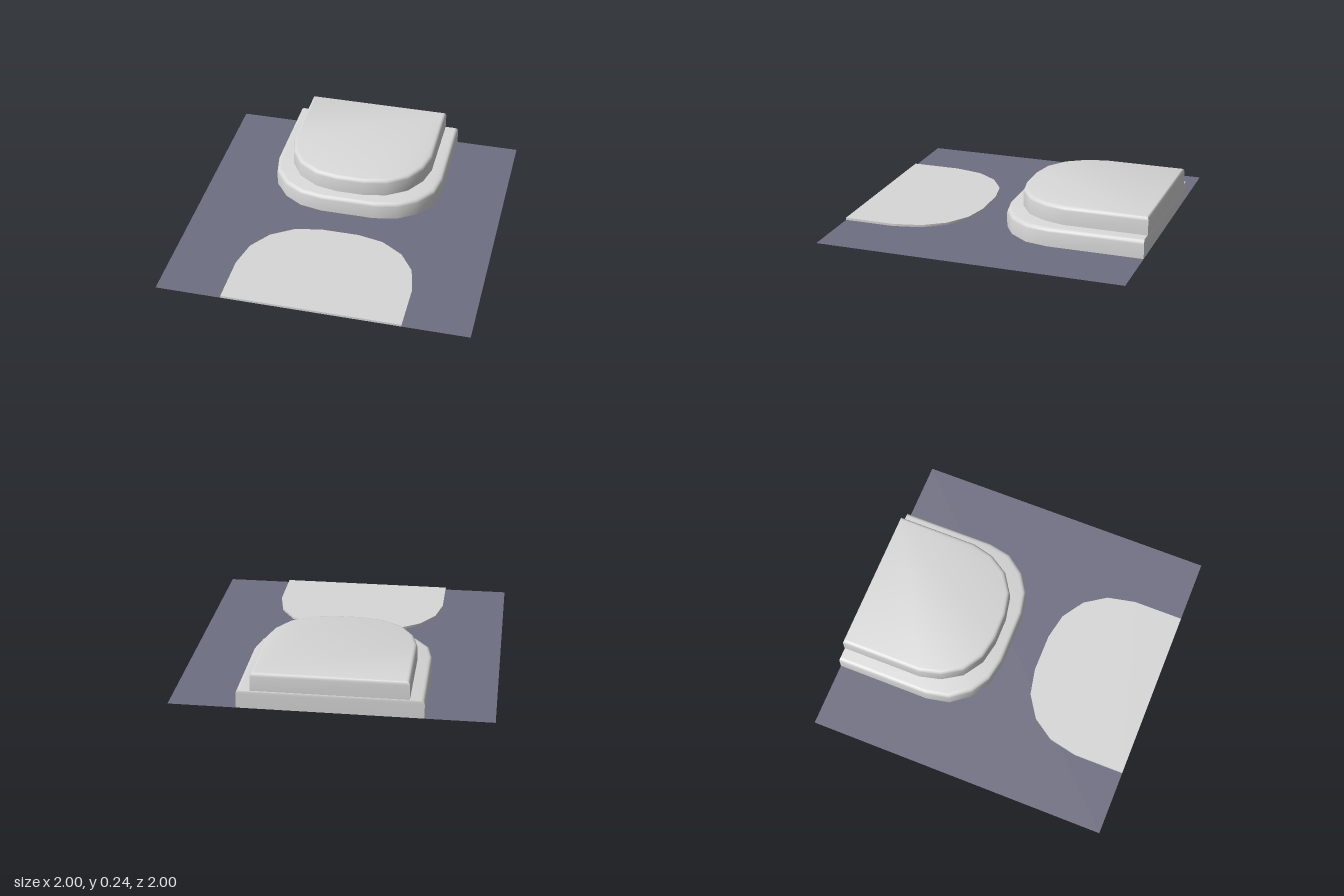
import * as THREE from 'three';
import { toCreasedNormals } from 'three/addons/utils/BufferGeometryUtils.js';

const BACK = -1;

// Solid with a straight back and a rounded front, stacked from inset rings.
// half: [x, z] points from the side to the front; levels: [y, inset, backInset]
function roundedSlab(half, levels) {
  const right = [[half[0][0], BACK], ...half];
  const outline = [...right, ...right.map(([x, z]) => [-x, z]).reverse()];
  const n = outline.length;
  const halfWidth = half[0][0];
  const front = half[half.length - 1][1];
  const pos = [];
  const idx = [];
  for (const [y, inset, backInset] of levels) {
    for (const [x, z] of outline) {
      const t = (z - BACK) / (front - BACK);
      pos.push(x * (1 - inset / halfWidth), y, z + backInset * (1 - t) - inset * t);
    }
  }
  // walls
  for (let k = 0; k < levels.length - 1; k++) {
    for (let i = 0; i < n; i++) {
      const a = k * n + i;
      const b = k * n + (i + 1) % n;
      idx.push(a, a + n, b, b, a + n, b + n);
    }
  }
  // top face
  const top = (levels.length - 1) * n;
  for (let i = 1; i < n - 1; i++) idx.push(top, top + i + 1, top + i);
  const geo = new THREE.BufferGeometry();
  geo.setAttribute('position', new THREE.Float32BufferAttribute(pos, 3));
  geo.setIndex(idx);
  return toCreasedNormals(geo, 0.75);
}

// Ring levels for a step whose top edge is softly rounded
function softStep(y0, y1, r, backR) {
  const levels = [[y0, 0, 0]];
  for (let i = 0; i <= 3; i++) {
    const a = (i / 3) * Math.PI / 2;
    const inset = 1 - Math.cos(a);
    levels.push([y1 - r * (1 - Math.sin(a)), r * inset, backR * inset]);
  }
  return levels;
}

export function createModel() {
  const model = new THREE.Group();
  const stone = new THREE.MeshStandardMaterial({ color: 0xd8d8d8 });
  stone.name = 'pale stone';
  const paving = new THREE.MeshStandardMaterial({ color: 0x6f6f83, side: THREE.DoubleSide });
  paving.name = 'slate paving';

  const add = (name, geo, mat) => {
    const mesh = new THREE.Mesh(geo, mat);
    mesh.name = name;
    model.add(mesh);
    return mesh;
  };

  // Square ground sheet
  add('ground', new THREE.PlaneGeometry(2, 2).rotateX(-Math.PI / 2), paving);

  // Two-tier platform at the back
  const lower = [[0.575, -0.38], [0.545, -0.23], [0.45, -0.105], [0.33, -0.03], [0.18, 0]];
  add('lowerStep', roundedSlab(lower, softStep(0, 0.12, 0.025, 0.004)), stone);

  const upper = [[0.485, -0.46], [0.45, -0.32], [0.37, -0.195], [0.24, -0.11], [0.09, -0.08]];
  add('upperStep', roundedSlab(upper, softStep(0.12, 0.24, 0.025, 0.015)), stone);

  // Thin rounded slab at the front, facing the platform
  const patch = [[0.575, -0.67], [0.535, -0.485], [0.44, -0.345], [0.295, -0.25], [0.125, -0.215]];
  add('frontSlab', roundedSlab(patch, [[0, 0, 0], [0.015, 0, 0]]), stone).rotation.y = Math.PI;

  return model;
}
